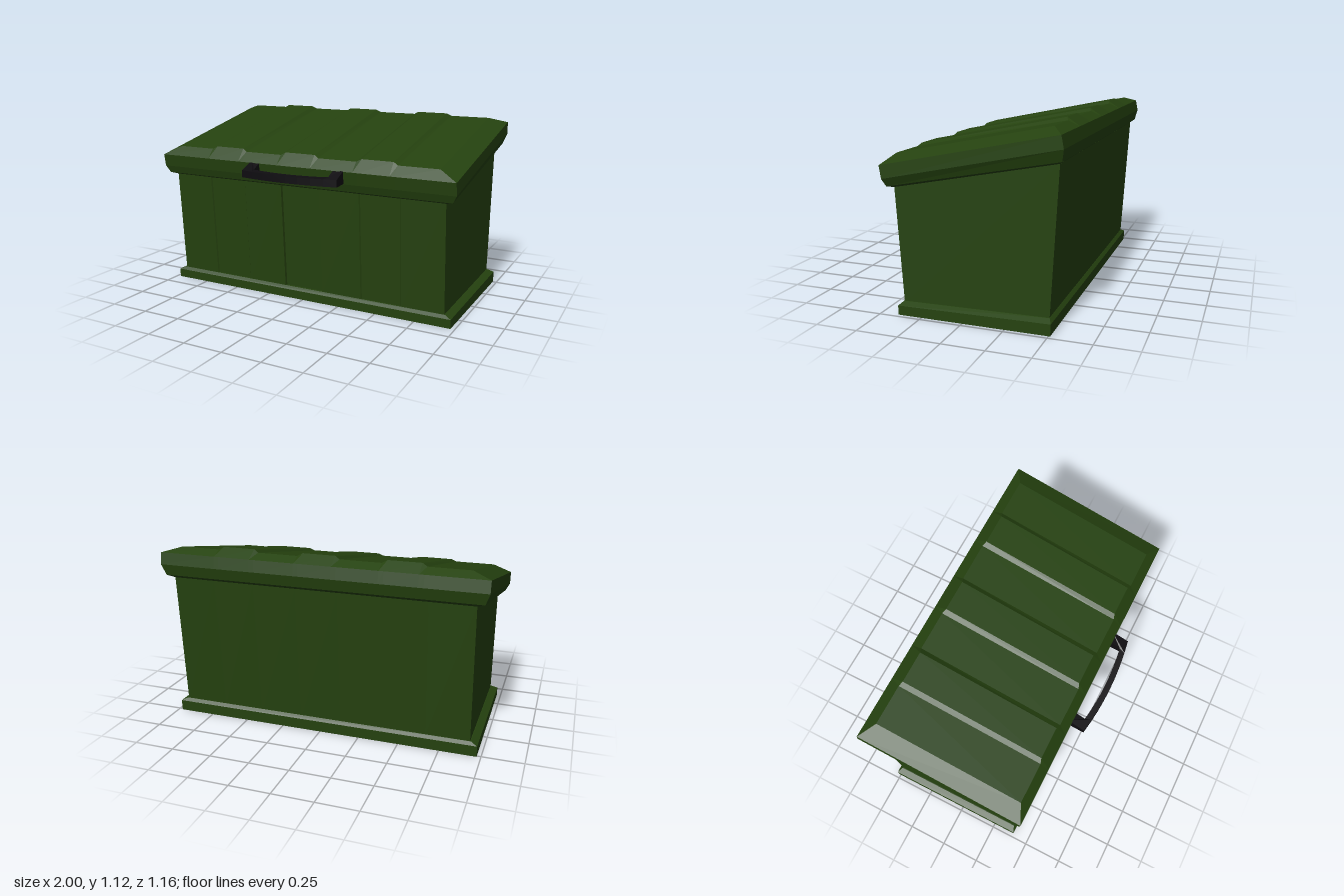
import * as THREE from 'three';

const green = new THREE.MeshStandardMaterial({ name: 'dark green', color: 0x25420f });
const black = new THREE.MeshStandardMaterial({ name: 'black', color: 0x0e0c10 });

// Full row of column positions, mirrored from the positive half
const mirror = (half) => [...half.map((x) => -x).reverse(), ...half];

// One level: front and back edges as [z, y], running round anticlockwise from above.
// shape(x) gives optional offsets { dy, dz } for the front and back edge of each column.
function ring(columns, endX, front, back, shape = () => ({})) {
  const xs = [-endX, ...columns, endX];
  const row = ([z, y], side) => xs.map((x) => {
    const { dy = 0, frontZ = 0, backZ = 0 } = shape(Math.abs(x));
    return [x, y + dy, z + (side > 0 ? frontZ : backZ)];
  });
  return [...row(front, 1), ...row(back, -1).reverse()];
}

// Joins the levels into a closed, faceted solid
function loft(rings) {
  const out = [];
  const quad = (a, b, c, d) => out.push(...a, ...b, ...c, ...a, ...c, ...d);
  const n = rings[0].length;
  for (let r = 0; r < rings.length - 1; r++) {
    const lo = rings[r], up = rings[r + 1];
    for (let i = 0; i < n; i++) {
      const j = (i + 1) % n;
      quad(lo[i], lo[j], up[j], up[i]);
    }
  }
  const bottom = rings[0], top = rings[rings.length - 1];
  for (let k = 0; k < n / 2 - 1; k++) {
    const b = n - 1 - k;
    quad(top[k], top[k + 1], top[b - 1], top[b]);
    quad(bottom[k], bottom[b], bottom[b - 1], bottom[k + 1]);
  }
  const geometry = new THREE.BufferGeometry();
  geometry.setAttribute('position', new THREE.Float32BufferAttribute(out, 3));
  geometry.computeVertexNormals();
  return geometry;
}

function part(name, geometry, material) {
  const mesh = new THREE.Mesh(geometry, material);
  mesh.name = name;
  return mesh;
}

// Plinth with a chamfered upper edge
function makeBase() {
  return loft([
    ring([], 0.975, [0.393, 0], [-0.51, 0]),
    ring([], 0.975, [0.395, 0.055], [-0.513, 0.068]),
    ring([], 0.935, [0.377, 0.072], [-0.495, 0.086]),
  ]);
}

// Flared box with alternating recessed front panels
function makeBody() {
  const columns = mirror([0.129, 0.133, 0.398, 0.404, 0.657, 0.663]);
  const panels = (x) => {
    if (x < 0.131) return { frontZ: -0.014 };
    return { frontZ: x > 0.4 && x < 0.66 ? -0.007 : 0 };
  };
  return loft([
    ring(columns, 0.93, [0.375, 0.06], [-0.492, 0.07], panels),
    ring(columns, 0.93, [0.416, 0.737], [-0.541, 0.922], panels),
  ]);
}

// Sloping lid with a bevelled rim and three raised ribs
function makeLid() {
  const columns = mirror([0.1, 0.13, 0.38, 0.41, 0.61, 0.64]);
  const ribs = (x) => {
    const raised = x < 0.11 || (x > 0.4 && x < 0.62);
    return raised ? { dy: 0.016, frontZ: -0.01, backZ: 0.012 } : {};
  };
  return loft([
    ring(columns, 0.925, [0.413, 0.733], [-0.538, 0.92]),
    ring(columns, 0.975, [0.44, 0.745], [-0.565, 0.94]),
    ring(columns, 1, [0.456, 0.79], [-0.58, 1.008]),
    ring(columns, 1, [0.468, 0.866], [-0.566, 1.08]),
    ring(columns, 0.89, [0.415, 0.922], [-0.498, 1.109], ribs),
  ]);
}

// Bowed grip with two legs; its upper face sweeps up towards the lid
function makeHandle() {
  const s = new THREE.Shape();
  s.moveTo(-0.32, -0.44);
  s.lineTo(-0.255, -0.44);
  s.lineTo(-0.255, -0.524);
  s.quadraticCurveTo(0, -0.562, 0.255, -0.524);
  s.lineTo(0.255, -0.44);
  s.lineTo(0.32, -0.44);
  s.lineTo(0.324, -0.55);
  s.quadraticCurveTo(0, -0.608, -0.324, -0.55);
  s.closePath();
  const geometry = new THREE.ExtrudeGeometry(s, { depth: 1, bevelEnabled: false, curveSegments: 8 });
  geometry.rotateX(-Math.PI / 2);
  const p = geometry.attributes.position;
  for (let i = 0; i < p.count; i++) {
    const t = (0.58 - p.getZ(i)) / 0.12;
    p.setY(i, p.getY(i) > 0.5 ? 0.831 + 0.035 * t * t : 0.788 + 0.005 * t);
  }
  geometry.computeVertexNormals();
  return geometry;
}

export function createModel() {
  const group = new THREE.Group();
  group.name = 'storageBin';
  group.add(
    part('base', makeBase(), green),
    part('body', makeBody(), green),
    part('lid', makeLid(), green),
    part('handle', makeHandle(), black),
  );
  return group;
}
